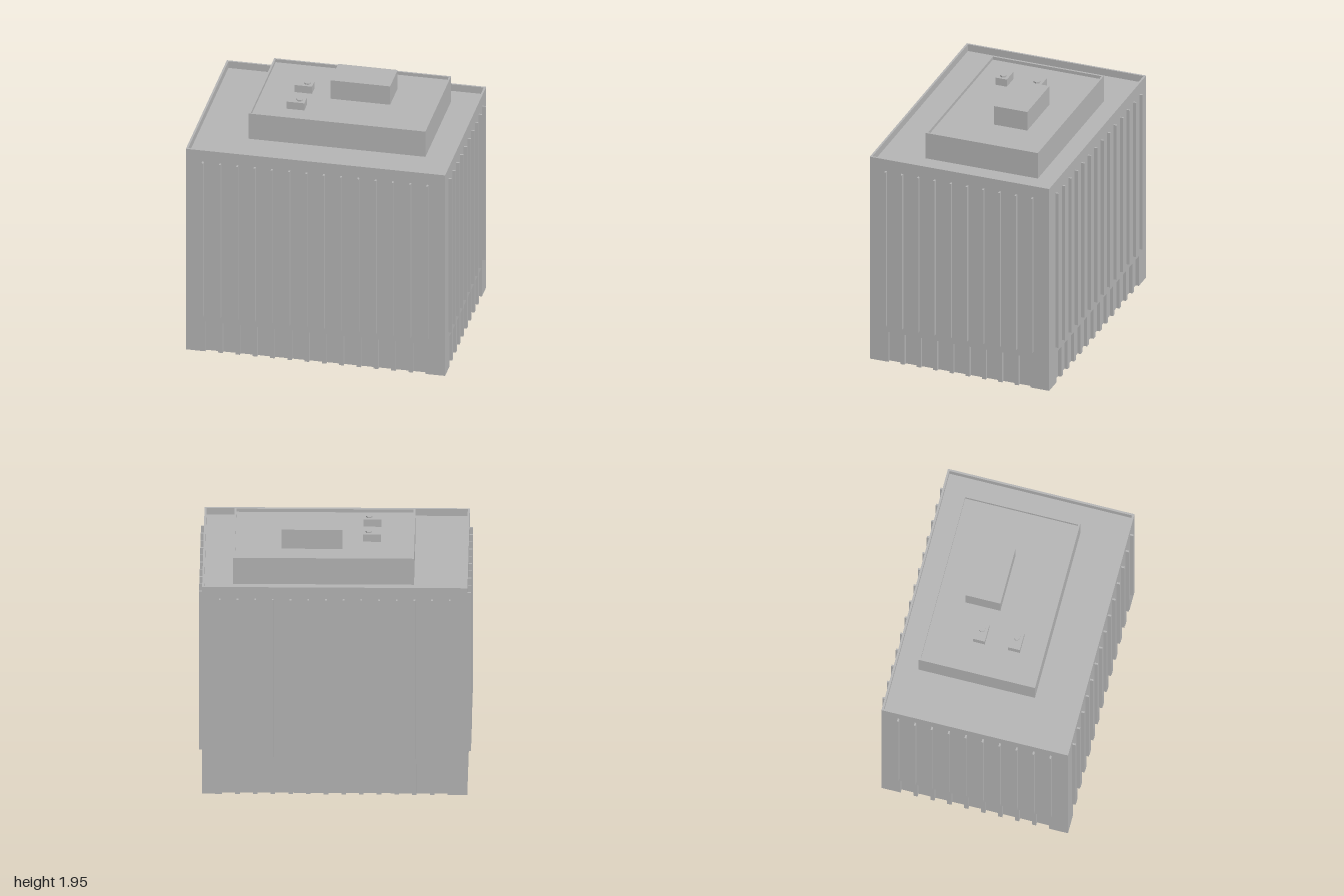
import * as THREE from 'three';

const concrete = new THREE.MeshStandardMaterial({ color: 0xb4b4b4, side: THREE.DoubleSide });
concrete.name = 'concrete grey';

const W = 1.95, D = 1.416;          // tower footprint
const ROOF = 1.615, TOP = 1.67;     // main roof and parapet top
const DOOR_W = 0.096, DOOR_H = 0.247, RECESS = 0.025;

function add(parent, name, geometry, x = 0, y = 0, z = 0) {
  const mesh = new THREE.Mesh(geometry, concrete);
  mesh.name = name;
  mesh.position.set(x, y, z);
  parent.add(mesh);
  return mesh;
}

// Box given by its extents on each axis
function block(parent, name, [x0, x1], [y0, y1], [z0, z1]) {
  return add(parent, name, new THREE.BoxGeometry(x1 - x0, y1 - y0, z1 - z0),
    (x0 + x1) / 2, (y0 + y1) / 2, (z0 + z1) / 2);
}

function rectangle(Type, w, d) {
  const p = new Type();
  p.moveTo(-w / 2, -d / 2);
  p.lineTo(w / 2, -d / 2);
  p.lineTo(w / 2, d / 2);
  p.lineTo(-w / 2, d / 2);
  p.closePath();
  return p;
}

// Raised rim around a flat roof
function parapet(parent, name, w, d, t, y0, y1, x = 0, z = 0) {
  const ring = rectangle(THREE.Shape, w, d);
  ring.holes.push(rectangle(THREE.Path, w - 2 * t, d - 2 * t));
  const g = new THREE.ExtrudeGeometry(ring, { depth: y1 - y0, bevelEnabled: false });
  add(parent, name, g.rotateX(-Math.PI / 2), x, y0, z);
}

// One facade facing +z: notched wall skin, recessed ground bays, vertical fins
function facade(name, length, bays, pitch) {
  const group = new THREE.Group();
  group.name = name;
  const bayX = i => (i - (bays - 1) / 2) * pitch;

  const outline = new THREE.Shape();
  outline.moveTo(-length / 2, 0);
  for (let i = 0; i < bays; i++) {
    const l = bayX(i) - DOOR_W / 2, r = l + DOOR_W;
    outline.lineTo(l, 0);
    outline.lineTo(l, DOOR_H);
    outline.lineTo(r, DOOR_H);
    outline.lineTo(r, 0);
  }
  outline.lineTo(length / 2, 0);
  outline.lineTo(length / 2, ROOF);
  outline.lineTo(-length / 2, ROOF);
  add(group, 'wall', new THREE.ShapeGeometry(outline));

  for (let i = 0; i < bays; i++) {
    const x = bayX(i);
    add(group, 'bayPanel', new THREE.PlaneGeometry(DOOR_W, DOOR_H), x, DOOR_H / 2, -RECESS);
    add(group, 'baySoffit', new THREE.PlaneGeometry(DOOR_W, RECESS).rotateX(Math.PI / 2),
      x, DOOR_H, -RECESS / 2);
    for (const s of [-1, 1]) {
      add(group, 'bayReveal', new THREE.PlaneGeometry(RECESS, DOOR_H).rotateY(-s * Math.PI / 2),
        x + s * DOOR_W / 2, DOOR_H / 2, -RECESS / 2);
    }
  }

  // Fins sit halfway between bays, with one beyond each end
  const fins = bays + 1;
  for (let i = 0; i < fins; i++) {
    const x = (i - (fins - 1) / 2) * pitch;
    block(group, 'fin', [x - 0.0065, x + 0.0065], [0.3, 1.577], [0, 0.025]);
  }
  return group;
}

export function createModel() {
  const model = new THREE.Group();
  model.name = 'officeBuilding';

  // Four facades
  for (const [name, turn] of [['frontFacade', 0], ['leftFacade', 1], ['backFacade', 2], ['rightFacade', 3]]) {
    const long = turn % 2 === 0;
    const f = long ? facade(name, W, 13, 0.13) : facade(name, D, 9, 0.1285);
    const angle = turn * Math.PI / 2;
    const reach = (long ? D : W) / 2;
    f.rotation.y = angle;
    f.position.set(Math.sin(angle) * reach, 0, Math.cos(angle) * reach);
    // The short sides carry ten fins, the long sides fourteen
    model.add(f);
  }

  // Main roof
  const t = 0.015;
  add(model, 'roof', new THREE.PlaneGeometry(W - 2 * t, D - 2 * t).rotateX(-Math.PI / 2), 0, ROOF, 0);
  parapet(model, 'roofParapet', W, D, t, ROOF, TOP);

  // Upper storey
  block(model, 'upperStorey', [-0.58, 0.75], [ROOF, 1.8], [-0.53, 0.355]);
  parapet(model, 'upperParapet', 1.33, 0.885, 0.014, 1.8, 1.825, 0.085, -0.0875);

  // Rooftop plant
  block(model, 'plantRoom', [-0.05, 0.397], [1.8, 1.953], [-0.308, -0.045]);
  for (const z of [-0.134, 0.132]) {
    block(model, 'ventUnit', [-0.333, -0.2], [1.8, 1.859], [z - 0.044, z + 0.044]);
    const fan = new THREE.CylinderGeometry(0.025, 0.025, 0.012, 6).toNonIndexed();
    fan.rotateY(Math.PI / 6);
    fan.computeVertexNormals();
    add(model, 'ventFan', fan, -0.243, 1.864, z);
  }
  return model;
}
